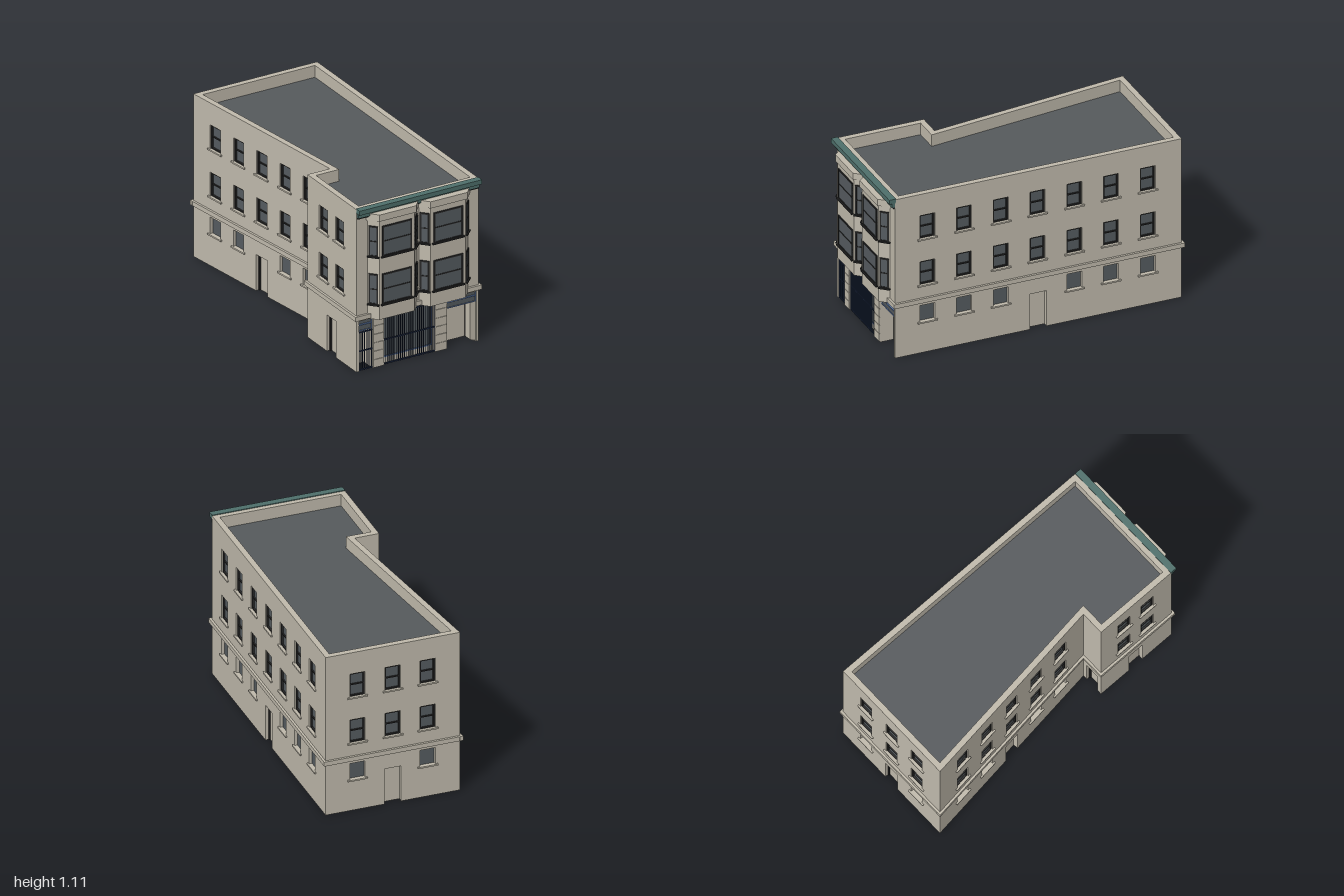
import * as THREE from 'three';

const mat = (name, color) => {
  const m = new THREE.MeshStandardMaterial({ color });
  m.name = name;
  return m;
};

export function createModel() {
  const model = new THREE.Group();
  model.name = 'cornerBuilding';
  const stone = mat('stone', 0xc1bbad), glass = mat('glass', 0x565c60), roofing = mat('roofing', 0x565a5d);
  const dark = mat('darkFrame', 0x272727), green = mat('greenCornice', 0x4f706c);
  const blue = mat('blueTrim', 0x5f7bab), navy = mat('gateBars', 0x1b2740);
  roofing.side = THREE.DoubleSide;
  const H = 1.1, T = 0.038;

  const add = (parent, name, geo, material, x = 0, y = 0, z = 0) => {
    const m = new THREE.Mesh(geo, material);
    m.name = name;
    m.position.set(x, y, z);
    parent.add(m);
    return m;
  };
  // box given by its min and max corners
  const box = (parent, name, material, x0, x1, y0, y1, z0, z1) =>
    add(parent, name, new THREE.BoxGeometry(x1 - x0, y1 - y0, z1 - z0), material,
      (x0 + x1) / 2, (y0 + y1) / 2, (z0 + z1) / 2);
  // rectangular border of four bars
  const border = (parent, name, material, x0, x1, y0, y1, z0, z1, b) => {
    box(parent, name, material, x0, x0 + b, y0, y1, z0, z1);
    box(parent, name, material, x1 - b, x1, y0, y1, z0, z1);
    box(parent, name, material, x0 + b, x1 - b, y0, y0 + b, z0, z1);
    box(parent, name, material, x0 + b, x1 - b, y1 - b, y1, z0, z1);
  };
  // vertical prism over a plan outline of [x, z] points
  const prism = (parent, name, material, pts, y0, y1) => {
    const geo = new THREE.ExtrudeGeometry(
      new THREE.Shape(pts.map(([x, z]) => new THREE.Vector2(x, -z))), { depth: y1 - y0, bevelEnabled: false });
    geo.rotateX(-Math.PI / 2);
    return add(parent, name, geo, material, 0, y0, 0);
  };

  // plan corners, each wall running left to right as seen from outside
  const plan = [[-0.435, 0.93], [0.435, 0.93], [0.435, -0.985], [-0.445, -0.985], [-0.275, 0.35], [-0.435, 0.35]];
  const n = plan.length;
  const edges = plan.map((p, i) => {
    const q = plan[(i + 1) % n], dx = q[0] - p[0], dz = q[1] - p[1];
    return { p, L: Math.hypot(dx, dz), a: Math.atan2(-dz, dx) };
  });
  const miter = i => {
    const turn = edges[i % n].a - edges[(i + n - 1) % n].a;
    return Math.tan(Math.atan2(Math.sin(turn), Math.cos(turn)) / 2);
  };

  // openings: windows [u, y0, y1], doors [u, width, height]
  const column = (u, ground) => [[u, 0.79, 0.952], [u, 0.47, 0.632], ...(ground ? [[u, 0.215, 0.328]] : [])];
  const sideWindows = [0, 1, 2, 3, 4, 5, 6].flatMap(i => column(0.215 + 0.2455 * i, i !== 3));
  const Ls = edges[3].L;
  const walls = [
    { name: 'frontWall', windows: column(0.4375, false),
      openings: [[0.0675, 0.095, 0.338], [0.3775, 0.365, 0.34], [0.75, 0.21, 0.338]] },
    { name: 'rightWall', windows: sideWindows, doors: [[0.957, 0.11, 0.245]] },
    { name: 'backWall', windows: [0.208, 0.44, 0.668].flatMap((u, i) => column(u, i !== 1)), doors: [[0.44, 0.11, 0.245]] },
    { name: 'slantedLeftWall', windows: [0.16, 0.33, 0.5, 0.67, 0.84].flatMap((f, i) => column(f * Ls, i !== 2)),
      doors: [[0.5 * Ls, 0.11, 0.245]] },
    { name: 'notchWall', windows: [], doors: [[0.08, 0.1, 0.245]] },
    { name: 'leftWall', windows: [...column(0.19, false), ...column(0.38, false)], doors: [[0.285, 0.11, 0.245]] },
  ];

  walls.forEach(({ name, windows, doors = [], openings = [] }, i) => {
    const { p, L, a } = edges[i];
    const g = new THREE.Group();
    g.name = name;
    g.position.set(p[0], 0, p[1]);
    g.rotation.y = a;
    model.add(g);

    // wall slab with doorways and window holes, mitred at its ends
    const s = new THREE.Shape();
    s.moveTo(0, 0);
    for (const [u, w, h] of [...doors, ...openings]) {
      s.lineTo(u - w / 2, 0); s.lineTo(u - w / 2, h); s.lineTo(u + w / 2, h); s.lineTo(u + w / 2, 0);
    }
    s.lineTo(L, 0); s.lineTo(L, H); s.lineTo(0, H); s.closePath();
    for (const [u, y0, y1] of windows) {
      const h = new THREE.Path();
      h.moveTo(u - 0.05, y0); h.lineTo(u - 0.05, y1); h.lineTo(u + 0.05, y1); h.lineTo(u + 0.05, y0); h.closePath();
      s.holes.push(h);
    }
    const geo = new THREE.ExtrudeGeometry(s, { depth: T, bevelEnabled: false });
    geo.translate(0, 0, -T);
    const pos = geo.attributes.position;
    for (let k = 0; k < pos.count; k++) {
      if (pos.getZ(k) > -T / 2) continue;
      if (pos.getX(k) < 1e-4) pos.setX(k, T * miter(i));
      else if (pos.getX(k) > L - 1e-4) pos.setX(k, L - T * miter(i + 1));
    }
    add(g, name + 'Slab', geo, stone);
    box(g, 'stringCourse', stone, -0.015, L + 0.015, 0.35, 0.38, -0.01, 0.015);

    for (const [u, y0, y1] of windows) {
      box(g, 'windowPane', glass, u - 0.05, u + 0.05, y0, y1, -0.026, -0.02);
      box(g, 'windowSill', stone, u - 0.066, u + 0.066, y0 - 0.009, y0 + 0.001, -0.015, 0.011);
      if (y0 < 0.4) continue;
      border(g, 'windowFrame', dark, u - 0.05, u + 0.05, y0, y1, -0.022, -0.008, 0.009);
      box(g, 'windowRail', dark, u - 0.041, u + 0.041, (y0 + y1) / 2 - 0.004, (y0 + y1) / 2 + 0.004, -0.022, -0.012);
    }
    for (const [u, w, h] of doors) {
      box(g, 'door', stone, u - w / 2, u + w / 2, 0, h, -0.036, -0.031);
      box(g, 'doorBack', dark, u - w / 2, u + w / 2, 0, h, -0.042, -0.036);
      box(g, 'doorJamb', dark, u - w / 2, u - w / 2 + 0.009, 0, h, -0.034, -0.02);
      box(g, 'doorHead', dark, u - w / 2, u + w / 2, h - 0.007, h, -0.034, -0.02);
    }
  });

  // flat roof behind the parapet
  const roofPts = edges.map(({ p, a }, i) => {
    const t = T / 2, m = t * miter(i);
    return new THREE.Vector2(p[0] + Math.cos(a) * m - Math.sin(a) * t, -(p[1] - Math.sin(a) * m - Math.cos(a) * t));
  });
  add(model, 'roof', new THREE.ShapeGeometry(new THREE.Shape(roofPts)), roofing, 0, 1.02, 0).rotation.x = -Math.PI / 2;

  // green cornice along the front
  box(model, 'corniceTop', green, -0.435, 0.435, 1.075, 1.105, 0.925, 0.97);
  box(model, 'corniceLower', green, -0.43, 0.43, 1.045, 1.075, 0.925, 0.95);
  box(model, 'corniceShadowStrip', dark, -0.43, 0.43, 1.036, 1.045, 0.925, 0.942);

  // bay windows
  const bayPlan = (cx, e) => [[cx - 0.175 - e, 0.92], [cx - 0.175 - e, 0.93], [cx - 0.125 - e * 0.5, 0.985 + e],
    [cx + 0.125 + e * 0.5, 0.985 + e], [cx + 0.175 + e, 0.93], [cx + 0.175 + e, 0.92]];
  for (const cx of [-0.18, 0.185]) {
    const bay = new THREE.Group();
    bay.name = 'bay';
    model.add(bay);
    prism(bay, 'bayBody', stone, bayPlan(cx, 0), 0.345, 1.055);
    prism(bay, 'bayLedge', stone, bayPlan(cx, 0.004), 1.005, 1.015);
    prism(bay, 'bayCornice', stone, bayPlan(cx, 0.012), 1.015, 1.06);
    const tilt = Math.atan2(0.055, 0.05);
    for (const [x, z, w, a] of [[cx, 0.985, 0.21, 0], [cx - 0.15, 0.9575, 0.06, -tilt], [cx + 0.15, 0.9575, 0.06, tilt]]) {
      const f = new THREE.Group();
      f.name = 'bayWindow';
      f.position.set(x, 0, z);
      f.rotation.y = a;
      bay.add(f);
      for (const y of [0.445, 0.768]) {
        const h = w / 2;
        box(f, 'bayPane', glass, -h, h, y, y + 0.205, -0.002, 0.002);
        border(f, 'bayFrame', dark, -h, h, y, y + 0.207, -0.002, 0.006, 0.01);
        box(f, 'bayRail', dark, -h, h, y + 0.1, y + 0.107, -0.002, 0.005);
        box(f, 'baySill', dark, -h - 0.008, h + 0.008, y - 0.006, y + 0.003, -0.002, 0.014);
      }
    }
  }

  // recessed side entrances with blue transoms
  for (const [x0, x1, name] of [[-0.415, -0.32, 'left'], [0.21, 0.42, 'right']]) {
    const back = 0.83;
    box(model, name + 'AlcoveBack', stone, x0, x1, 0, 0.34, back - 0.006, back);
    box(model, name + 'AlcoveBackLining', dark, x0, x1, 0, 0.265, back - 0.01, back - 0.006);
    box(model, name + 'AlcoveSide', stone, x0 - 0.006, x0, 0, 0.34, back, 0.9);
    box(model, name + 'AlcoveSide', stone, x1, x1 + 0.006, 0, 0.34, back, 0.9);
    box(model, name + 'AlcoveCeiling', stone, x0, x1, 0.338, 0.344, back, 0.9);
    box(model, name + 'Transom', glass, x0, x1, 0.268, 0.338, 0.908, 0.916);
    border(model, name + 'TransomFrame', blue, x0, x1, 0.266, 0.338, 0.906, 0.922, 0.004);
    box(model, name + 'TransomRail', blue, x0, x1, 0.304, 0.312, 0.906, 0.924);
  }
  box(model, 'rightDoorJamb', dark, 0.21, 0.218, 0, 0.266, 0.83, 0.84);
  box(model, 'rightDoorJamb', dark, 0.395, 0.4, 0, 0.266, 0.83, 0.84);
  box(model, 'leftDoorPanel', dark, -0.415, -0.405, 0.1, 0.235, 0.835, 0.89);

  // central storefront glazing
  box(model, 'storefrontPane', glass, -0.24, 0.125, 0.04, 0.34, 0.888, 0.896);
  box(model, 'storefrontBase', stone, -0.24, 0.125, 0, 0.04, 0.888, 0.9);
  border(model, 'storefrontFrame', blue, -0.24, 0.125, 0.037, 0.34, 0.89, 0.902, 0.007);

  // barred gates
  const gate = (name, x0, x1, h, count) => {
    for (let k = 0; k <= count; k++) {
      const x = x0 + 0.003 + (x1 - x0 - 0.006) * k / count;
      box(model, name + 'Bar', navy, x - 0.002, x + 0.002, 0, h, 0.922, 0.926);
    }
    for (const y of [0.008, h / 2, h - 0.005])
      box(model, name + 'Rail', navy, x0, x1, y - 0.004, y + 0.004, 0.921, 0.927);
  };
  gate('centralGate', -0.24, 0.125, 0.338, 24);
  gate('leftGate', -0.415, -0.32, 0.265, 7);

  // block courses on the ground-floor piers
  for (const [x0, x1] of [[-0.315, -0.245], [0.13, 0.205]])
    for (let k = 0; k < 6; k++)
      box(model, 'pierBlock', stone, x0, x1, 0.002 + k * 0.057, 0.055 + k * 0.057, 0.925, 0.934);

  return model;
}
